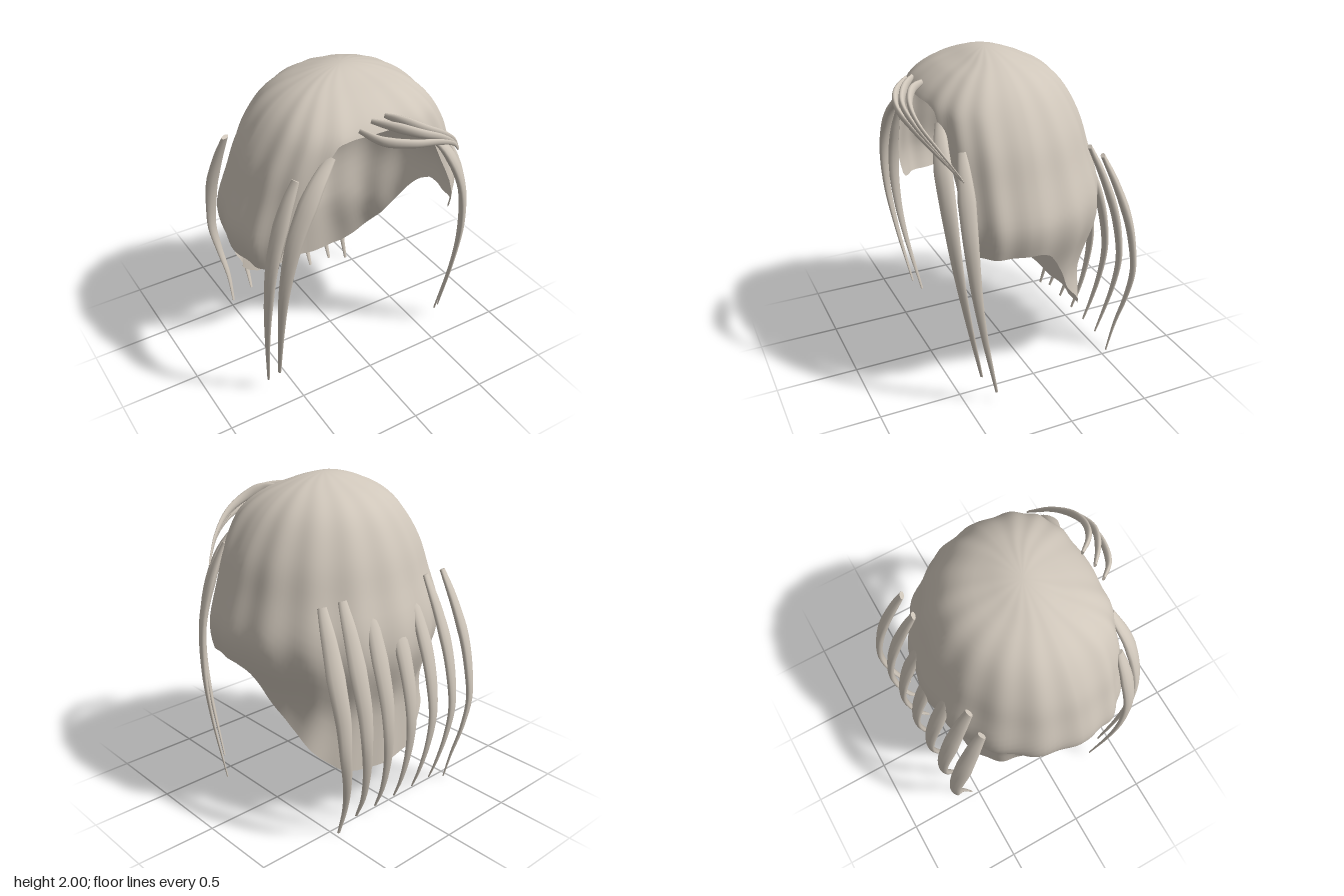
import * as THREE from 'three';

const hair = new THREE.MeshStandardMaterial({ color: 0xcfc6ba, side: THREE.DoubleSide });
hair.name = 'pale hair';

// Piecewise-linear lookup in a list of [key, value] pairs with rising keys
function lookup(table, k) {
  if (k <= table[0][0]) return table[0][1];
  for (let i = 1; i < table.length; i++) {
    const [k0, v0] = table[i - 1], [k1, v1] = table[i];
    if (k <= k1) return v0 + (v1 - v0) * (k - k0) / (k1 - k0);
  }
  return table[table.length - 1][1];
}

// Smooth profile: radius against the square root of the depth below the crown
function profile(points) {
  const curve = new THREE.SplineCurve(points.map(([y, r]) => new THREE.Vector2(Math.sqrt(2 - y), r)));
  const table = curve.getPoints(80).map(p => [p.x, p.y]);
  return y => lookup(table, Math.sqrt(Math.max(0, 2 - y)));
}

const sideRadius = profile([[2, 0], [1.96, 0.22], [1.9, 0.35], [1.8, 0.47], [1.6, 0.6], [1.4, 0.67],
  [1.2, 0.735], [1.1, 0.74], [1, 0.72], [0.8, 0.66], [0.6, 0.645], [0.4, 0.71], [0.27, 0.72]]);
const backRadius = profile([[2, 0], [1.96, 0.17], [1.9, 0.31], [1.8, 0.43], [1.6, 0.54], [1.4, 0.6],
  [1.2, 0.66], [1, 0.67], [0.8, 0.605], [0.7, 0.57], [0.5, 0.56], [0.27, 0.56]]);
const frontRadius = profile([[2, 0], [1.96, 0.15], [1.9, 0.28], [1.8, 0.4], [1.7, 0.44], [1.4, 0.455], [0.27, 0.45]]);

// Height of the lower edge by angle from the front, in degrees
const hem = [[0, 1.765], [12, 1.76], [22, 1.75], [26, 1.69], [33, 1.55], [39.6, 1.35], [45, 1.14], [50, 1.02],
  [53, 0.99], [92, 0.99], [98.6, 0.95], [104, 0.88], [109, 0.8], [123, 0.6], [143, 0.4], [153, 0.315],
  [162, 0.28], [170, 0.267], [180, 0.265]];

function gridGeometry(points, index) {
  const g = new THREE.BufferGeometry();
  g.setAttribute('position', new THREE.Float32BufferAttribute(points, 3));
  g.setIndex(index);
  g.computeVertexNormals();
  return g;
}

// Fluted shell, open at the face and long at the nape
function capGeometry() {
  const cols = 144, rows = 32, pos = [0, 2, 0.1], index = [];
  const id = (i, j) => i === 0 ? 0 : 1 + (i - 1) * cols + j % cols;
  for (let i = 1; i <= rows; i++) {
    for (let j = 0; j < cols; j++) {
      const a = j / cols * Math.PI * 2;
      const deg = Math.min(j, cols - j) / cols * 360;
      const drop = 1 - Math.cos(i / rows * Math.PI / 2);
      const y = 2 - (2 - lookup(hem, deg)) * drop;
      const s = Math.sin(a), c = Math.cos(a), e = c > 0 ? 0.714 : 1;
      const flute = 1 + 0.012 * Math.cos(16 * a);
      const x = Math.sign(s) * Math.abs(s) ** e * sideRadius(y);
      const z = Math.sign(c) * Math.abs(c) ** e * (c > 0 ? frontRadius(y) : backRadius(y));
      pos.push(x * flute, y, 0.1 + z * flute);
    }
  }
  for (let i = 0; i < rows; i++) {
    for (let j = 0; j < cols; j++) {
      if (i > 0) index.push(id(i, j), id(i + 1, j), id(i, j + 1));
      index.push(id(i, j + 1), id(i + 1, j), id(i + 1, j + 1));
    }
  }
  return gridGeometry(pos, index);
}

// Flattened tapering lock; side is the direction of its broad axis
const taper = [[0, 0.5], [0.1, 0.75], [0.25, 1], [0.4, 0.88], [0.7, 0.5], [1, 0.17]];
function lockGeometry(path, side, width, thick) {
  const curve = new THREE.CatmullRomCurve3(path.map(p => new THREE.Vector3(...p)));
  const steps = 28, sides = 12, pos = [], index = [];
  const rings = [[0, 0], [0, 1]];
  for (let i = 0; i <= steps; i++) rings.push([i / steps, 1]);
  rings.push([1, 1], [1, 0]);
  for (const [t, scale] of rings) {
    const p = curve.getPoint(t), d = curve.getTangent(t);
    const u = new THREE.Vector3(...side);
    u.addScaledVector(d, -u.dot(d)).normalize();
    const n = d.clone().cross(u);
    const k = lookup(taper, t) * scale / 2;
    for (let j = 0; j < sides; j++) {
      const a = j / sides * Math.PI * 2;
      const q = p.clone().addScaledVector(u, Math.cos(a) * width * k).addScaledVector(n, Math.sin(a) * thick * k);
      pos.push(q.x, q.y, q.z);
    }
  }
  for (let i = 0; i < rings.length - 1; i++) {
    for (let j = 0; j < sides; j++) {
      const a = i * sides + j, b = i * sides + (j + 1) % sides;
      index.push(a, b, b + sides, a, b + sides, a + sides);
    }
  }
  return gridGeometry(pos, index);
}

export function createModel() {
  const model = new THREE.Group();
  model.name = 'wig';
  const add = (name, geometry) => {
    const mesh = new THREE.Mesh(geometry, hair);
    mesh.name = name;
    model.add(mesh);
  };
  add('cap', capGeometry());

  // Seven locks hanging down the back: x at top, middle and tip, then tip height
  const backLocks = [[0, 0, 0, 0.06], [0.17, 0.19, 0.165, 0.06], [0.34, 0.365, 0.325, 0.06], [0.49, 0.53, 0.47, 0.005]];
  backLocks.forEach(([top, mid, tip, end], i) => {
    for (const m of i ? [1, -1] : [1]) {
      const path = [[top, 1.41, -0.43], [(top + mid) / 2, 1.24, -0.51], [mid, 1, -0.6], [mid, 0.8, -0.65],
        [mid, 0.6, -0.67], [(mid + tip) / 2, 0.4, -0.65], [tip, 0.2, -0.6], [tip, end, -0.545]];
      add('backLock', lockGeometry(path.map(([x, y, z]) => [m * x, y, z]), [1, 0, m * top * 0.9], 0.11, 0.055));
    }
  });

  // Two long locks framing the face on each side
  const frontPath = [[0.3, 1.69, 0.5], [0.44, 1.53, 0.545], [0.565, 1.27, 0.56], [0.625, 0.95, 0.54],
    [0.63, 0.6, 0.485], [0.61, 0.18, 0.4]];
  const templePath = [[0.49, 1.58, 0.45], [0.575, 1.4, 0.465], [0.66, 1.12, 0.475], [0.69, 0.8, 0.455],
    [0.685, 0.5, 0.41], [0.65, 0.07, 0.32]];
  for (const m of [1, -1]) {
    const mirror = path => path.map(([x, y, z]) => [m * x, y, z]);
    add('faceLock', lockGeometry(mirror(frontPath), [m * 0.7, 0, -0.7], 0.11, 0.055));
    add('templeLock', lockGeometry(mirror(templePath), [m * 0.4, 0, -0.9], 0.1, 0.055));
  }

  // Fringe swept across the forehead
  const fringe = [
    [[-0.145, 1.82, 0.53], [-0.06, 1.775, 0.62], [0.1, 1.735, 0.672], [0.29, 1.68, 0.655], [0.45, 1.59, 0.59], [0.59, 1.45, 0.48]],
    [[-0.065, 1.85, 0.52], [0.03, 1.825, 0.6], [0.16, 1.775, 0.66], [0.31, 1.7, 0.645], [0.46, 1.59, 0.58], [0.585, 1.46, 0.485]],
    [[0.035, 1.845, 0.5], [0.1, 1.83, 0.58], [0.2, 1.78, 0.63], [0.33, 1.71, 0.63], [0.47, 1.6, 0.57], [0.58, 1.47, 0.49]],
  ];
  for (const path of fringe) add('fringeLock', lockGeometry(path, [0, 1, 0.2], 0.065, 0.035));

  return model;
}
